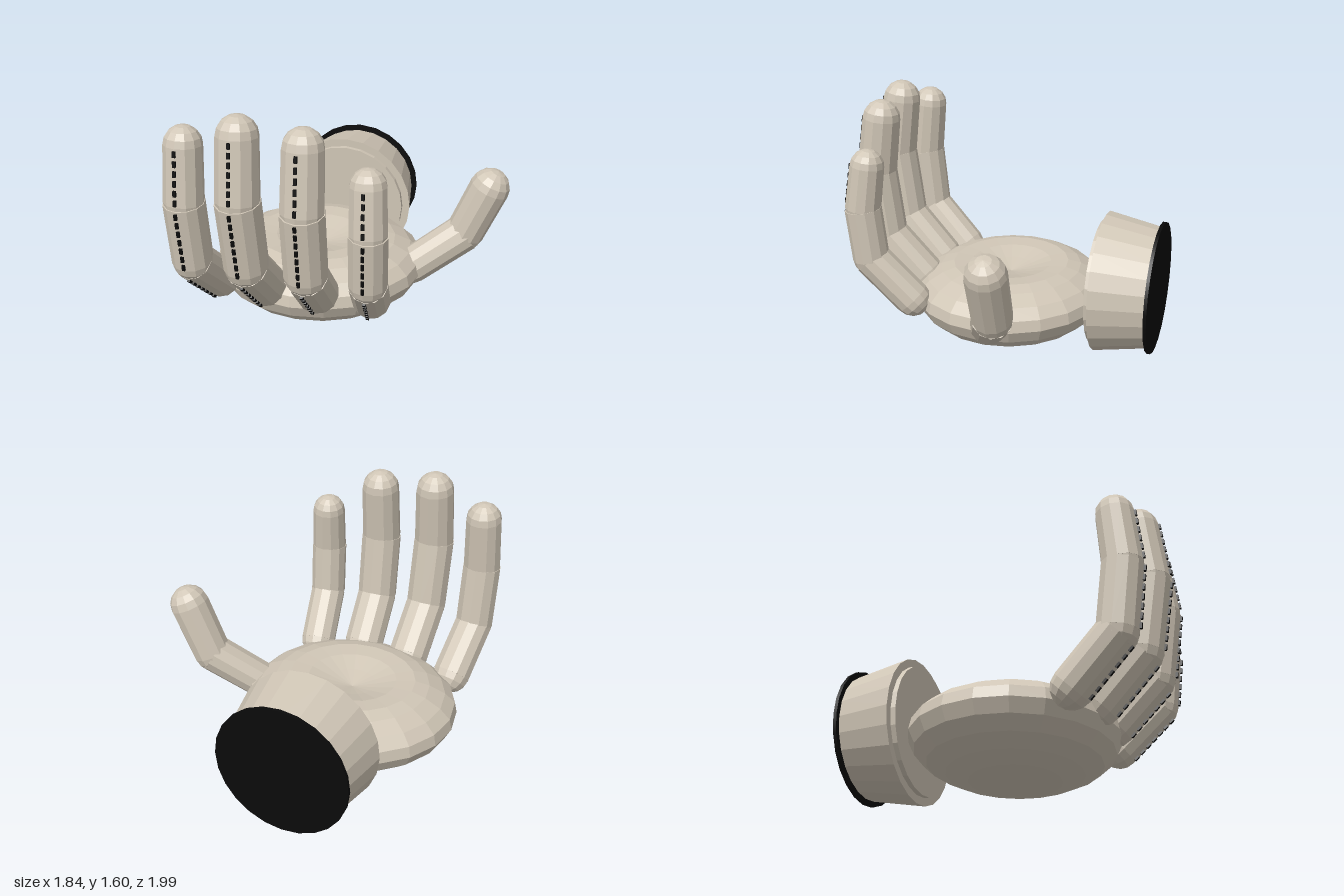
import * as THREE from 'three';

const skin = new THREE.MeshStandardMaterial({ color: 0xd0c6b6, flatShading: true });
skin.name = 'warm ivory';
const black = new THREE.MeshStandardMaterial({ color: 0x0a0a0a });
black.name = 'black';

const V = (a) => new THREE.Vector3(...a);

function add(parent, name, geometry, material) {
  const mesh = new THREE.Mesh(geometry, material);
  mesh.name = name;
  parent.add(mesh);
  return mesh;
}

// Rotation with local y along the limb and local z on its outer side
function limbRotation(dir) {
  const x = new THREE.Vector3(0, 1, 0).lerp(dir, 0).set(1, 0, 0);
  x.addScaledVector(dir, -x.dot(dir)).normalize();
  const z = new THREE.Vector3().crossVectors(x, dir);
  return new THREE.Quaternion().setFromRotationMatrix(new THREE.Matrix4().makeBasis(x, dir, z));
}

// A digit: tapered segments between joints, with round joints and tip.
// radii holds [lower, upper] for each segment.
function makeDigit(name, joints, radii, stitched) {
  const digit = new THREE.Group();
  digit.name = name;
  const pts = joints.map(V);
  radii.forEach(([r0, r1], i) => {
    const a = pts[i], b = pts[i + 1];
    const length = a.distanceTo(b);
    const q = limbRotation(b.clone().sub(a).normalize());
    const segment = new THREE.Group();
    segment.name = name + 'Segment' + (i + 1);
    segment.position.copy(a);
    segment.quaternion.copy(q);
    digit.add(segment);

    add(segment, 'shaft', new THREE.CylinderGeometry(r1, r0, length, 12), skin).position.y = length / 2;
    add(segment, 'lowerJoint', new THREE.SphereGeometry(r0 * 0.99, 12, 8), skin);
    if (i === radii.length - 1) {
      add(segment, 'tip', new THREE.SphereGeometry(r1, 12, 8), skin).position.y = length;
    }

    // Dashed seam down the outer side
    if (stitched) {
      const count = Math.round(length / 0.056);
      const step = length / count;
      for (let k = 0; k < count; k++) {
        const t = (k + 0.5) / count;
        const dash = add(segment, 'stitch', new THREE.BoxGeometry(0.018, step * 0.62, 0.016), black);
        dash.position.set(0, t * length, r0 + (r1 - r0) * t + 0.003);
      }
    }
  });
  return digit;
}

export function createModel() {
  const model = new THREE.Group();
  model.name = 'cuppedHand';

  // Palm: squashed dish with a dimpled top
  const profile = [
    [0, 0.03], [0.14, 0.035], [0.29, 0.06], [0.43, 0.1], [0.55, 0.155], [0.63, 0.225],
    [0.67, 0.305], [0.655, 0.375], [0.59, 0.435], [0.49, 0.485], [0.4, 0.508],
    [0.28, 0.5], [0.15, 0.465], [0, 0.43],
  ].map(([x, y]) => new THREE.Vector2(x, y));
  const palm = add(model, 'palm', new THREE.LatheGeometry(profile, 20), skin);
  palm.position.set(-0.25, 0, -0.02);
  palm.scale.z = 0.93;

  // Wrist cuff, running backwards
  const cuff = new THREE.Group();
  cuff.name = 'cuff';
  cuff.position.set(-0.25, 0.45, 0);
  model.add(cuff);
  const disc = (name, rFront, rBack, zFront, zBack, material) => {
    const geometry = new THREE.CylinderGeometry(rFront, rBack, zFront - zBack, 24).rotateX(Math.PI / 2);
    add(cuff, name, geometry, material).position.z = (zFront + zBack) / 2;
  };
  disc('cuffLip', 0.4, 0.4, -0.61, -0.645, skin);
  disc('cuffSleeve', 0.45, 0.385, -0.64, -0.985, skin);
  disc('cuffEnd', 0.42, 0.42, -0.98, -1.0, black);

  // Four fingers: joints from base to tip, and a thickness
  const fingers = [
    ['outerFinger', [[-0.74, 0.365, 0.475], [-0.785, 0.63, 0.745], [-0.79, 1.03, 0.79], [-0.785, 1.37, 0.755]], 0.122],
    ['tallFinger', [[-0.415, 0.395, 0.53], [-0.43, 0.67, 0.79], [-0.435, 1.11, 0.855], [-0.435, 1.48, 0.81]], 0.132],
    ['middleFinger', [[-0.09, 0.395, 0.53], [-0.075, 0.66, 0.78], [-0.07, 1.08, 0.835], [-0.07, 1.44, 0.79]], 0.13],
    ['innerFinger', [[0.23, 0.365, 0.48], [0.275, 0.63, 0.735], [0.285, 0.96, 0.77], [0.275, 1.235, 0.735]], 0.115],
  ];
  for (const [name, joints, r] of fingers) {
    const radii = [[r, r], [r, r], [r * 0.97, r * 0.92]];
    model.add(makeDigit(name, joints, radii, true));
  }

  // Thumb
  model.add(makeDigit('thumb',
    [[0.35, 0.32, -0.075], [0.66, 0.54, -0.205], [0.8, 0.865, -0.215]],
    [[0.118, 0.122], [0.122, 0.125]], false));

  return model;
}
